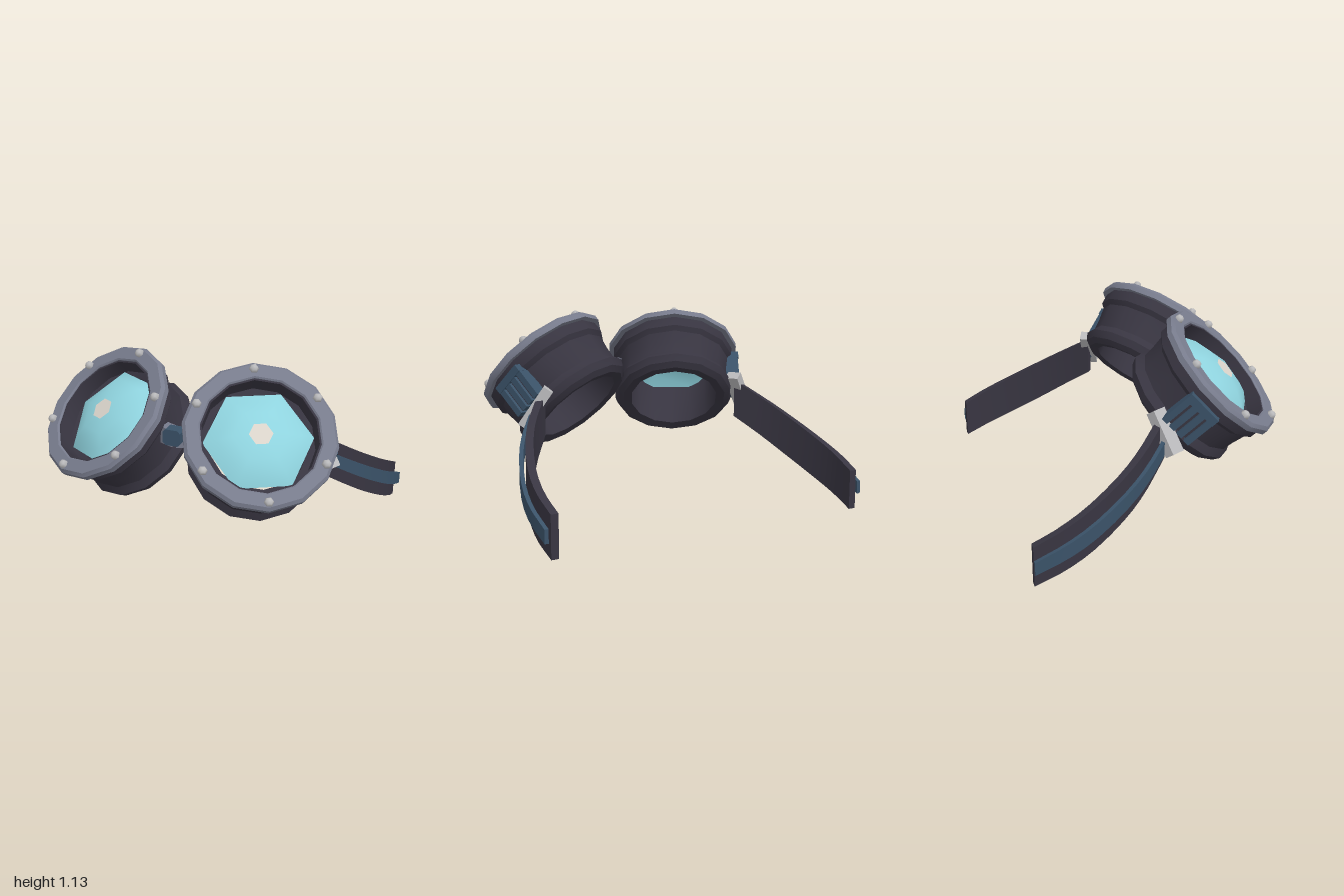
import * as THREE from 'three';
import { toCreasedNormals } from 'three/addons/utils/BufferGeometryUtils.js';

const V = (x, y, z) => new THREE.Vector3(x, y, z);

// Ring-shaped solid about the local z axis, from a [radius, z] profile
function turned(profile, sides, twist = 0, crease = 0.5) {
  const g = new THREE.LatheGeometry(profile.map(([r, z]) => new THREE.Vector2(r, z)), sides);
  return toCreasedNormals(g.rotateY(twist).rotateX(Math.PI / 2), crease);
}

function box(w, h, d, x = 0, y = 0, z = 0) {
  return new THREE.BoxGeometry(w, h, d).translate(x, y, z);
}

// Swept band with an upright rectangular section, pushed outward by offset
function band(curve, heightAt, thickness, offset, lift, steps = 12) {
  const pos = [], idx = [];
  for (let i = 0; i <= steps; i++) {
    const t = i / steps, p = curve.getPoint(t), d = curve.getTangent(t);
    const out = V(-d.z, 0, d.x).normalize();
    const h = heightAt(t) / 2;
    for (const [o, y] of [[-1, -1], [1, -1], [1, 1], [-1, 1]]) {
      const q = p.clone().addScaledVector(out, offset + o * thickness / 2);
      pos.push(q.x, q.y + y * h + lift, q.z);
    }
    if (i < steps) for (let k = 0; k < 4; k++) {
      const a = i * 4 + k, b = i * 4 + (k + 1) % 4;
      idx.push(a, a + 4, b, b, a + 4, b + 4);
    }
  }
  const e = steps * 4;
  idx.push(0, 1, 2, 0, 2, 3, e, e + 2, e + 1, e, e + 3, e + 2);
  const g = new THREE.BufferGeometry();
  g.setAttribute('position', new THREE.Float32BufferAttribute(pos, 3));
  g.setIndex(idx);
  return toCreasedNormals(g, 0.5);
}

// Copy reflected across x = 0, with the corner order put right
function mirrored(geo) {
  const g = geo.index ? geo.toNonIndexed() : geo.clone();
  g.scale(-1, 1, 1);
  for (const key of ['position', 'normal']) {
    const a = g.attributes[key].array;
    for (let i = 0; i < a.length; i += 9) for (let k = 3; k < 6; k++) {
      const t = a[i + k];
      a[i + k] = a[i + k + 3];
      a[i + k + 3] = t;
    }
  }
  return g;
}

export function createModel() {
  const model = new THREE.Group();
  model.name = 'goggles';
  const mat = (name, color) => {
    const m = new THREE.MeshStandardMaterial({ color });
    m.name = name;
    return m;
  };
  const leather = mat('darkLeather', 0x383541);
  const rimGrey = mat('rimGrey', 0x787c8d);
  const metal = mat('paleMetal', 0xbababc);
  const blue = mat('slateBlue', 0x3a5268);
  const glass = mat('aquaGlass', 0x8fd3de);
  glass.side = THREE.DoubleSide;
  const glint = mat('paleGlint', 0xdad4cb);

  const sides = { left: new THREE.Group(), right: new THREE.Group() };
  for (const k in sides) {
    sides[k].name = k + 'Half';
    model.add(sides[k]);
  }
  const add = (parent, name, geo, m) => {
    const mesh = new THREE.Mesh(geo, m);
    mesh.name = name;
    parent.add(mesh);
  };
  const both = (name, geo, m, matrix) => {
    if (matrix) geo.applyMatrix4(matrix);
    add(sides.left, name, geo, m);
    add(sides.right, name, mirrored(geo), m);
  };

  // Cup frame: turned 29 degrees outward and tipped 45 degrees up
  const cup = new THREE.Matrix4().compose(
    V(0.464, 0.836, 0.458),
    new THREE.Quaternion().setFromEuler(new THREE.Euler(-Math.PI / 4, 29 * Math.PI / 180, 0, 'YXZ')),
    V(1, 1, 1));

  // Cup with waist, rear flange, eye opening and lens seat
  both('cup', turned([
    [0.268, -0.385], [0.32, -0.395], [0.355, -0.372], [0.374, -0.33], [0.346, -0.285],
    [0.35, -0.22], [0.362, -0.14], [0.386, -0.115], [0.386, -0.04], [0.33, -0.025], [0.322, -0.012],
    [0.312, -0.012], [0.306, -0.105], [0.268, -0.115], [0.268, -0.385]], 14), leather, cup);

  // Thin front rim
  both('rim', turned([
    [0.322, -0.05], [0.415, -0.05], [0.416, -0.018], [0.4, 0],
    [0.33, 0], [0.322, -0.008], [0.322, -0.05]], 14), rimGrey, cup);

  // Six rivets on each rim
  for (let i = 0; i < 6; i++) {
    const a = Math.PI / 2 + i * Math.PI / 3;
    both('rivet', new THREE.SphereGeometry(0.027, 6, 4).rotateX(Math.PI / 2)
      .translate(0.372 * Math.cos(a), 0.372 * Math.sin(a), 0.004), metal, cup);
  }

  // Six-sided domed lens and its glint
  both('lens', turned([[0.3, -0.1], [0.23, -0.052], [0.15, -0.021], [0.065, -0.006], [0, -0.005]],
    6, Math.PI / 6, 1.2), glass, cup);
  both('lensGlint', new THREE.CircleGeometry(0.065, 6), glint, cup);

  // Ribbed side mount
  both('mountBase', box(0.05, 0.18, 0.18, 0.365, 0, -0.21), leather, cup);
  both('mountCap', box(0.08, 0.2, 0.045, 0.375, 0, -0.115), blue, cup);
  for (const y of [-0.081, -0.027, 0.027, 0.081]) {
    both('mountRib', box(0.08, 0.036, 0.18, 0.37, y, -0.22), blue, cup);
  }

  // Buckle joining cup and strap
  const up = V(-0.14, 0.225, -0.07).normalize();
  const along = V(0.88, 0, 0.47).cross(up).normalize();
  const out = up.clone().cross(along);
  const buckle = new THREE.Matrix4().makeBasis(out, up, along).setPosition(0.685, 0.61, 0.025);
  both('buckle', box(0.06, 0.25, 0.085), metal, buckle);

  // Strap with a raised strip along its outer face
  const path = new THREE.CatmullRomCurve3([
    V(0.655, 0.568, 0.015), V(0.775, 0.452, -0.135), V(0.846, 0.367, -0.26),
    V(0.918, 0.253, -0.46), V(0.943, 0.177, -0.62), V(0.936, 0.113, -0.765)]);
  both('strap', band(path, t => 0.225 + 0.018 * Math.sin(Math.PI * t), 0.042, 0, 0), leather);
  both('strapStrip', band(path, t => 0.072 + 0.012 * Math.sin(Math.PI * t), 0.022, 0.044, 0.008), blue);

  // Nose bridge: angled links and a centre block
  const link = new THREE.Matrix4().makeRotationY(0.4).setPosition(0.064, 0.76, 0.478);
  both('bridgeLink', box(0.14, 0.095, 0.07), rimGrey, link);
  const block = new THREE.Shape([[-0.05, -0.03], [-0.035, -0.045], [0.035, -0.045], [0.05, -0.03],
    [0.05, 0.03], [0.035, 0.045], [-0.035, 0.045], [-0.05, 0.03]].map(p => new THREE.Vector2(...p)));
  add(model, 'bridgeBlock', new THREE.ExtrudeGeometry(block, { depth: 0.07, bevelEnabled: false })
    .translate(0, 0.778, 0.495), blue);

  return model;
}
